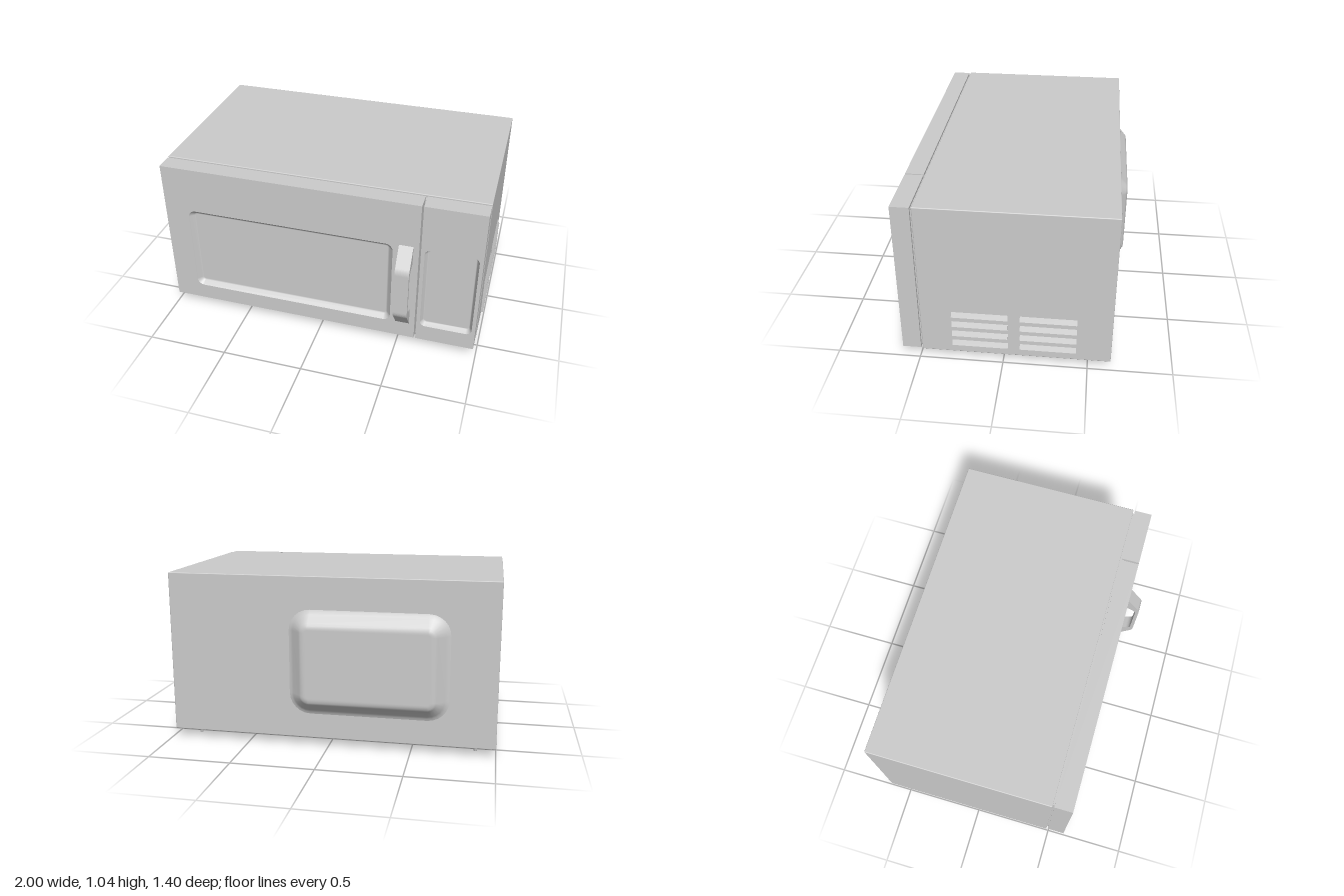
import * as THREE from 'three';
import { RoundedBoxGeometry } from 'three/addons/geometries/RoundedBoxGeometry.js';

const grey = new THREE.MeshStandardMaterial({ color: 0xcccccc });

// Counter-clockwise points of a rounded rectangle
function roundedRect(x0, x1, y0, y1, r, n = 6) {
  const pts = [];
  const centres = [[x1 - r, y1 - r], [x0 + r, y1 - r], [x0 + r, y0 + r], [x1 - r, y0 + r]];
  centres.forEach(([cx, cy], c) => {
    for (let i = 0; i <= n; i++) {
      const a = (c + i / n) * Math.PI / 2;
      pts.push(new THREE.Vector2(cx + r * Math.cos(a), cy + r * Math.sin(a)));
    }
  });
  return pts;
}

// Pressed panel: nested rounded rectangles stepping in by inset and along z, then capped
function pressed({ x0, x1, y0, y1, r }, steps) {
  const pos = [], idx = [];
  let count = 0;
  for (const [d, z] of steps) {
    const loop = roundedRect(x0 + d, x1 - d, y0 + d, y1 - d, Math.max(r - d, 0.015));
    count = loop.length;
    for (const p of loop) pos.push(p.x, p.y, z);
  }
  const last = (steps.length - 1) * count;
  const centre = pos.length / 3;
  pos.push((x0 + x1) / 2, (y0 + y1) / 2, steps[steps.length - 1][1]);
  for (let i = 0; i < count; i++) {
    const j = (i + 1) % count;
    for (let k = 0; k < last; k += count) {
      idx.push(k + i, k + j, k + count + j, k + i, k + count + j, k + count + i);
    }
    idx.push(last + i, last + j, centre);
  }
  const geo = new THREE.BufferGeometry();
  geo.setAttribute('position', new THREE.Float32BufferAttribute(pos, 3));
  geo.setIndex(idx);
  geo.computeVertexNormals();
  return geo;
}

function add(parent, name, geo, x = 0, y = 0, z = 0) {
  const mesh = new THREE.Mesh(geo, grey);
  mesh.name = name;
  mesh.position.set(x, y, z);
  parent.add(mesh);
  return mesh;
}

// Front slab with a sunken, slope-walled field
function frontSlab(parent, name, x0, x1, field, wall) {
  const back = 0.495, front = 0.605, depth = 0.03;
  const shape = new THREE.Shape([
    new THREE.Vector2(x0, 0.058), new THREE.Vector2(x1, 0.058),
    new THREE.Vector2(x1, 1.036), new THREE.Vector2(x0, 1.036),
  ]);
  shape.holes.push(new THREE.Path(roundedRect(field.x0, field.x1, field.y0, field.y1, field.r)));
  const group = new THREE.Group();
  group.name = name;
  parent.add(group);
  add(group, name + 'Frame',
    new THREE.ExtrudeGeometry(shape, { depth: front - back, bevelEnabled: false }), 0, 0, back);
  add(group, name + 'Recess', pressed(field, [
    [0, 0], [wall * 0.1, -depth * 0.12], [wall * 0.8, -depth * 0.88],
    [wall, -depth], [wall + 0.004, -depth],
  ]), 0, 0, front);
}

export function createModel() {
  const model = new THREE.Group();
  model.name = 'microwaveOven';

  // Casing and the narrower neck behind the door
  add(model, 'casing', new RoundedBoxGeometry(1.985, 0.99, 1.12, 2, 0.005), -0.0075, 0.545, -0.075);
  add(model, 'neck', new THREE.BoxGeometry(1.95, 0.95, 0.03), -0.0075, 0.547, 0.495);

  // Door with window, and control panel
  frontSlab(model, 'door', -0.997, 0.611, { x0: -0.845, x1: 0.455, y0: 0.163, y1: 0.742, r: 0.045 }, 0.03);
  frontSlab(model, 'controlPanel', 0.622, 0.983, { x0: 0.644, x1: 0.961, y0: 0.168, y1: 0.742, r: 0.035 }, 0.017);

  // Door handle: side profile drawn as (z, y), extruded across x
  const grip = new THREE.Shape();
  grip.moveTo(0.60, 0.16);
  grip.lineTo(0.685, 0.275);
  grip.quadraticCurveTo(0.70, 0.295, 0.70, 0.32);
  grip.lineTo(0.70, 0.595);
  grip.quadraticCurveTo(0.70, 0.62, 0.685, 0.64);
  grip.lineTo(0.60, 0.757);
  grip.lineTo(0.60, 0.632);
  grip.lineTo(0.65, 0.612);
  grip.quadraticCurveTo(0.678, 0.60, 0.678, 0.57);
  grip.lineTo(0.678, 0.345);
  grip.quadraticCurveTo(0.678, 0.315, 0.65, 0.303);
  grip.lineTo(0.60, 0.283);
  const gripGeo = new THREE.ExtrudeGeometry(grip, { depth: 0.086, bevelEnabled: false, curveSegments: 8 });
  gripGeo.rotateY(-Math.PI / 2);
  add(model, 'handle', gripGeo, 0.577, 0, 0);

  // Raised housing on the back
  const bulge = add(model, 'rearHousing', pressed({ x0: -0.24, x1: 0.725, y0: 0.2, y1: 0.845, r: 0.13 }, [
    [0, -0.001], [0.015, 0.004], [0.03, 0.013], [0.075, 0.053],
    [0.088, 0.062], [0.105, 0.065], [0.115, 0.065],
  ]), 0, 0, -0.635);
  bulge.rotation.y = Math.PI;

  // Hooded vent slats on the left side
  const slat = new THREE.Shape([
    new THREE.Vector2(0, 0), new THREE.Vector2(0.015, 0),
    new THREE.Vector2(0.015, 0.004), new THREE.Vector2(0, 0.034),
  ]);
  const slatGeo = new THREE.ExtrudeGeometry(slat, { depth: 0.33, bevelEnabled: false });
  const vents = new THREE.Group();
  vents.name = 'sideVents';
  model.add(vents);
  for (const z of [-0.43, -0.03]) {
    for (let row = 0; row < 4; row++) add(vents, 'ventSlat', slatGeo, 0.985, 0.105 + row * 0.069, z);
  }

  // Tapered feet
  const footGeo = new THREE.CylinderGeometry(0.019, 0.009, 0.055, 16);
  for (const x of [-0.88, 0.855]) {
    for (const z of [0.375, -0.535]) add(model, 'foot', footGeo, x, 0.0275, z);
  }

  return model;
}
